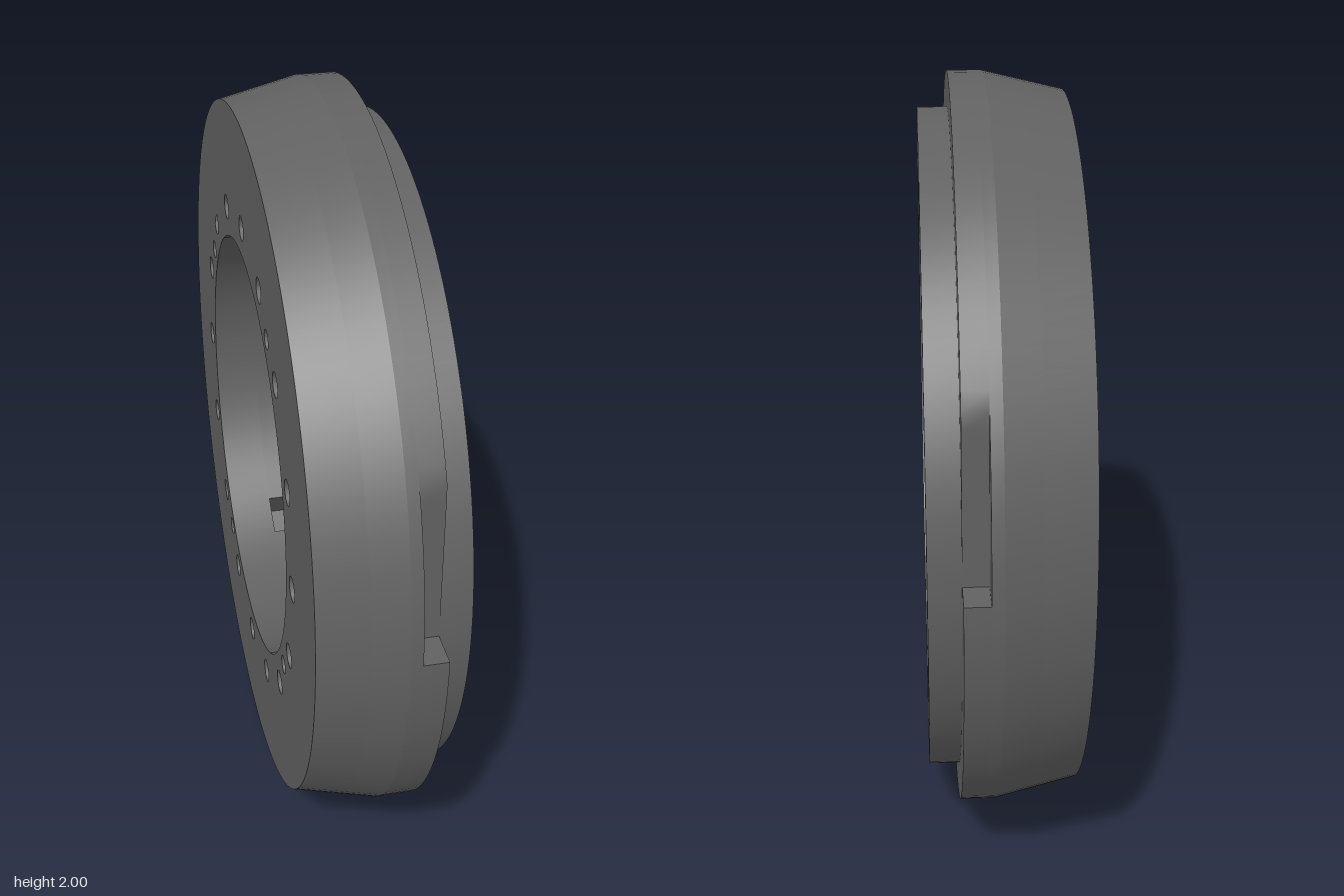
import * as THREE from 'three';
import { toCreasedNormals } from 'three/addons/utils/BufferGeometryUtils.js';

const SEG = 128;
const BORE = 0.585, RECESS = 0.73, NECK = 0.905;
const X = { back: -0.193, pocket: -0.07, shoulder: 0.02, ledge: 0.05, flange: 0.113, front: 0.193 };
const DEG = Math.PI / 180;
const TURN = 0.217; // outlines are triangulated at an odd angle, so no points line up
const ORIGIN = new THREE.Vector2();

const polar = (r, a) => new THREE.Vector2(r * Math.cos(a), r * Math.sin(a));

function circle(r, n = SEG, center = ORIGIN) {
  return Array.from({ length: n }, (_, i) => polar(r, (i / n) * 2 * Math.PI).add(center));
}

// Evenly spaced round holes on a bolt circle
function boltCircle(count, radius, holeRadius, start = 0) {
  return Array.from({ length: count }, (_, i) =>
    circle(holeRadius, 12, polar(radius, start + (i / count) * 2 * Math.PI)));
}

// Bore outline with four square pockets cut outward from it
function pocketedBore() {
  const half = 0.056, depth = 0.7, pts = [];
  const gap = Math.asin(half / BORE);
  for (let k = 0; k < 4; k++) {
    const a = 33.75 * DEG + k * Math.PI / 2;
    pts.push(polar(BORE, a - gap));
    for (const s of [-1, 1]) {
      pts.push(new THREE.Vector2(depth, s * half).rotateAround(ORIGIN, a));
    }
    const sweep = Math.PI / 2 - 2 * gap, n = 28;
    for (let i = 0; i < n; i++) pts.push(polar(BORE, a + gap + (sweep * i) / n));
  }
  return pts;
}

// Flange outline with a flat cut on the upper half of both sides
function notchedFlange() {
  const pts = [];
  for (let i = 0; i < SEG; i++) {
    const p = polar(1, (i / SEG) * 2 * Math.PI);
    if (i === 0) pts.push(p, new THREE.Vector2(NECK, 0));
    else if (i === SEG / 2) pts.push(new THREE.Vector2(-NECK, 0), p);
    else {
      if (i < SEG / 2) p.x = THREE.MathUtils.clamp(p.x, -NECK, NECK);
      pts.push(p);
    }
  }
  return pts;
}

// Radius of the tapered outer wall at a given x
const taper = (x) => THREE.MathUtils.mapLinear(x, X.back, X.shoulder, 0.95, 1);

export function createModel() {
  const group = new THREE.Group();
  const material = new THREE.MeshStandardMaterial({ color: 0x616161 });

  // One slice of the ring along x, optionally with a conical outer wall
  function slice(name, x0, x1, outline, holes, tapered = false) {
    const turned = (pts) => pts.map((p) => p.clone().rotateAround(ORIGIN, TURN));
    const shape = new THREE.Shape(turned(outline));
    shape.holes = holes.map((pts) => new THREE.Path(turned(pts)));
    let geo = new THREE.ExtrudeGeometry(shape, { depth: x1 - x0, bevelEnabled: false });
    geo.translate(0, 0, x0);
    if (tapered) {
      const p = geo.attributes.position;
      for (let i = 0; i < p.count; i++) {
        if (Math.hypot(p.getX(i), p.getY(i)) < 0.9) continue;
        const r = taper(p.getZ(i));
        p.setXY(i, p.getX(i) * r, p.getY(i) * r);
      }
    }
    geo.rotateZ(-TURN).rotateY(Math.PI / 2);
    geo = toCreasedNormals(geo, 35 * DEG);
    const mesh = new THREE.Mesh(geo, material);
    mesh.name = name;
    mesh.position.y = 1;
    group.add(mesh);
  }

  const ledgeHoles = boltCircle(16, 0.663, 0.034);
  const pocketHoles = boltCircle(4, 0.638, 0.026, 33.75 * DEG);
  const blindHole = boltCircle(1, 0.663, 0.034, 258.75 * DEG);
  const rimHoles = boltCircle(12, 0.8, 0.035);

  // Tapered body: plain back plate, then the pocketed layers up to the ledge
  slice('backPlate', X.back, X.pocket, circle(1), [circle(BORE), ...ledgeHoles, ...pocketHoles], true);
  const ledge = [pocketedBore(), ...ledgeHoles, ...blindHole];
  slice('pocketedBody', X.pocket, X.shoulder, circle(1), ledge, true);
  slice('ledge', X.shoulder, X.ledge, circle(1), ledge);

  // Wide flange with side notches, and the narrower raised rim
  slice('notchedFlange', X.ledge, X.flange, notchedFlange(), [circle(RECESS), ...rimHoles]);
  slice('raisedRim', X.flange, X.front, circle(NECK), [circle(RECESS), ...rimHoles]);

  return group;
}
